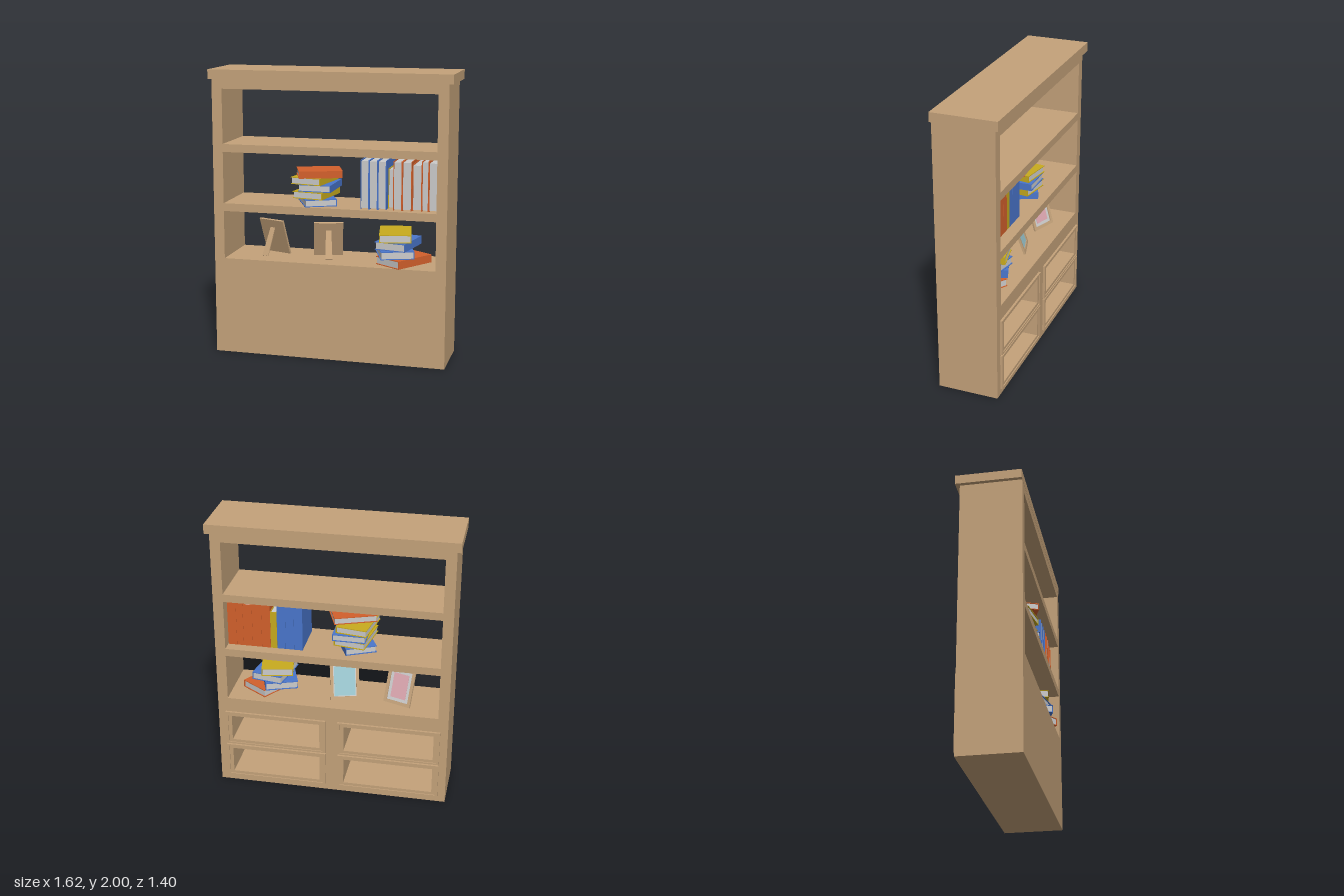
import * as THREE from 'three';

const mat = (color) => new THREE.MeshStandardMaterial({ color });
const WOOD = mat(0xc4a27a), PAGES = mat(0xe4e4e6), ORANGE = mat(0xd2602c);
const YELLOW = mat(0xc8ab1e), BLUE = mat(0x4a76cc), TEAL = mat(0x9cc8d0), PINK = mat(0xdca6b0);

function box(parent, name, material, size, pos) {
  const mesh = new THREE.Mesh(new THREE.BoxGeometry(...size), material);
  mesh.name = name;
  mesh.position.set(...pos);
  parent.add(mesh);
  return mesh;
}

// Rectangle path from x0,y0 to x1,y1
function rect(x0, y0, x1, y1, Type = THREE.Path) {
  const p = new Type();
  p.moveTo(x0, y0);
  p.lineTo(x1, y0);
  p.lineTo(x1, y1);
  p.lineTo(x0, y1);
  p.closePath();
  return p;
}

// Flat board with rectangular holes, extruded between two depths
function board(parent, name, outline, holes, z0, z1) {
  const shape = rect(...outline, THREE.Shape);
  holes.forEach((h) => shape.holes.push(rect(...h)));
  const geo = new THREE.ExtrudeGeometry(shape, { depth: z1 - z0, bevelEnabled: false });
  geo.translate(0, 0, z0);
  const mesh = new THREE.Mesh(geo, WOOD);
  mesh.name = name;
  parent.add(mesh);
}

// Book lying flat, centred, with its spine on +z
function book(color, length, width, thick) {
  const g = new THREE.Group();
  g.name = 'book';
  const c = 0.005;
  for (const s of [-1, 1]) {
    box(g, 'cover', color, [length, c, width], [0, s * (thick - c) / 2, 0]);
  }
  box(g, 'spine', color, [length, thick - 2 * c, c], [0, 0, (width - c) / 2]);
  box(g, 'pages', PAGES, [length - 0.014, thick - 2 * c, width - c - 0.007],
    [0, 0, -c / 2 + 0.0035 - c / 2 + 0.0015]);
  return g;
}

// Untidy pile of books: rows of [color, x, z, yaw, length, width]
function pile(parent, name, y, thick, rows) {
  const g = new THREE.Group();
  g.name = name;
  rows.forEach(([color, x, z, yaw, length, width], i) => {
    const b = book(color, length, width, thick);
    b.position.set(x, y + thick * (i + 0.5), z);
    b.rotation.y = yaw;
    g.add(b);
  });
  parent.add(g);
}

// Leaning picture frame with an easel strut behind it
function pictureFrame(parent, x, z, yaw, photo, mat) {
  const g = new THREE.Group();
  g.name = 'pictureFrame';
  g.position.set(x, 0.682, z);
  g.rotation.y = yaw;
  const lean = new THREE.Group();
  lean.name = 'leaningPanel';
  lean.rotation.x = -0.33;
  g.add(lean);
  const w = 0.205, h = 0.265, rim = 0.022;
  board(lean, 'frameRim', [-w / 2, 0, w / 2, h],
    [[-w / 2 + rim, rim, w / 2 - rim, h - rim]], -0.006, 0.008);
  box(lean, 'frameBack', WOOD, [w - 0.002, h - 0.002, 0.004], [0, h / 2, -0.005]);
  box(lean, 'mount', PAGES, [w - 2 * rim, h - 2 * rim, 0.004], [0, h / 2, -0.001]);
  box(lean, 'photo', photo, [w - 2 * rim - mat, h - 2 * rim - mat, 0.002], [0, h / 2, 0.002]);
  const strut = box(g, 'strut', WOOD, [0.05, 0.21, 0.006], [0, 0.097, -0.116]);
  strut.rotation.x = 0.45;
  // Taper the strut toward its top
  const p = strut.geometry.attributes.position;
  for (let i = 0; i < p.count; i++) if (p.getY(i) > 0) p.setX(i, p.getX(i) * 0.75);
  strut.geometry.computeVertexNormals();
  parent.add(g);
}

export function createModel() {
  const root = new THREE.Group();
  root.name = 'bookcase';

  // Cabinet stands at an angle, open side toward its own +z
  const cabinet = new THREE.Group();
  cabinet.name = 'cabinet';
  cabinet.rotation.y = 2.481;
  root.add(cabinet);

  // Carcass: three open shelves above four deep compartments
  const outline = [-0.82, 0, 0.82, 1.935];
  const shelves = [[0.682, 1.02], [1.075, 1.435], [1.49, 1.87]].map(([a, b]) => [-0.748, a, 0.748, b]);
  const rows = [0.175, 0.445];
  const bays = [];
  for (const y of rows) {
    for (const x of [-0.405, 0.405]) bays.push([x, y]);
  }
  const recesses = bays.map(([x, y]) => [x - 0.318, y - 0.097, x + 0.318, y + 0.097]);
  board(cabinet, 'carcass', outline, [...shelves, ...recesses], -0.19, 0.2);
  board(cabinet, 'backPanel', outline, shelves, -0.227, -0.19);
  box(cabinet, 'topBoard', WOOD, [1.696, 0.065, 0.456], [0, 1.9675, 0]);

  // Stepped frames around the lower compartments
  for (const [x, y] of bays) {
    const r = (a, b) => [x - a, y - b, x + a, y + b];
    board(cabinet, 'compartmentFrame', r(0.362, 0.13), [r(0.344, 0.118)], 0.2, 0.216);
    board(cabinet, 'compartmentInnerFrame', r(0.344, 0.118), [r(0.318, 0.097)], 0.2, 0.209);
  }

  // Upright books, spines toward the open side: [color, thickness, height, depth]
  const upright = [
    [ORANGE, 0.062, 0.335, 0.29], [ORANGE, 0.048, 0.34, 0.29], [ORANGE, 0.065, 0.315, 0.28],
    [ORANGE, 0.066, 0.335, 0.3], [ORANGE, 0.062, 0.335, 0.3], [YELLOW, 0.046, 0.275, 0.24],
    [BLUE, 0.06, 0.335, 0.3], [BLUE, 0.06, 0.335, 0.3], [BLUE, 0.06, 0.335, 0.3],
  ];
  let x = -0.746;
  for (const [color, thick, height, depth] of upright) {
    const b = book(color, height, depth, thick - 0.001);
    b.rotation.z = Math.PI / 2;
    b.position.set(x + thick / 2, 1.075 + height / 2, 0.12 - depth / 2);
    x += thick;
    cabinet.add(b);
  }

  // Book piles
  pile(root, 'middleShelfPile', 1.076, 0.049, [
    [BLUE, -0.125, -0.04, 1.35, 0.31, 0.22],
    [YELLOW, -0.125, -0.05, 0.75, 0.31, 0.22],
    [BLUE, -0.1, -0.045, 0.9, 0.31, 0.23],
    [YELLOW, -0.135, -0.06, 0.75, 0.31, 0.22],
    [ORANGE, -0.125, 0, -0.3, 0.3, 0.22],
  ]);
  pile(root, 'lowerShelfPile', 0.683, 0.056, [
    [ORANGE, 0.36, 0.345, 0.32, 0.32, 0.22],
    [BLUE, 0.31, 0.3, 1.25, 0.32, 0.23],
    [BLUE, 0.335, 0.31, 0.72, 0.31, 0.22],
    [YELLOW, 0.32, 0.295, 1.1, 0.31, 0.22],
  ]);

  // Picture frames
  pictureFrame(root, -0.02, -0.09, 2.76, TEAL, 0.012);
  pictureFrame(root, -0.31, -0.315, 2.14, PINK, 0.045);

  return root;
}
